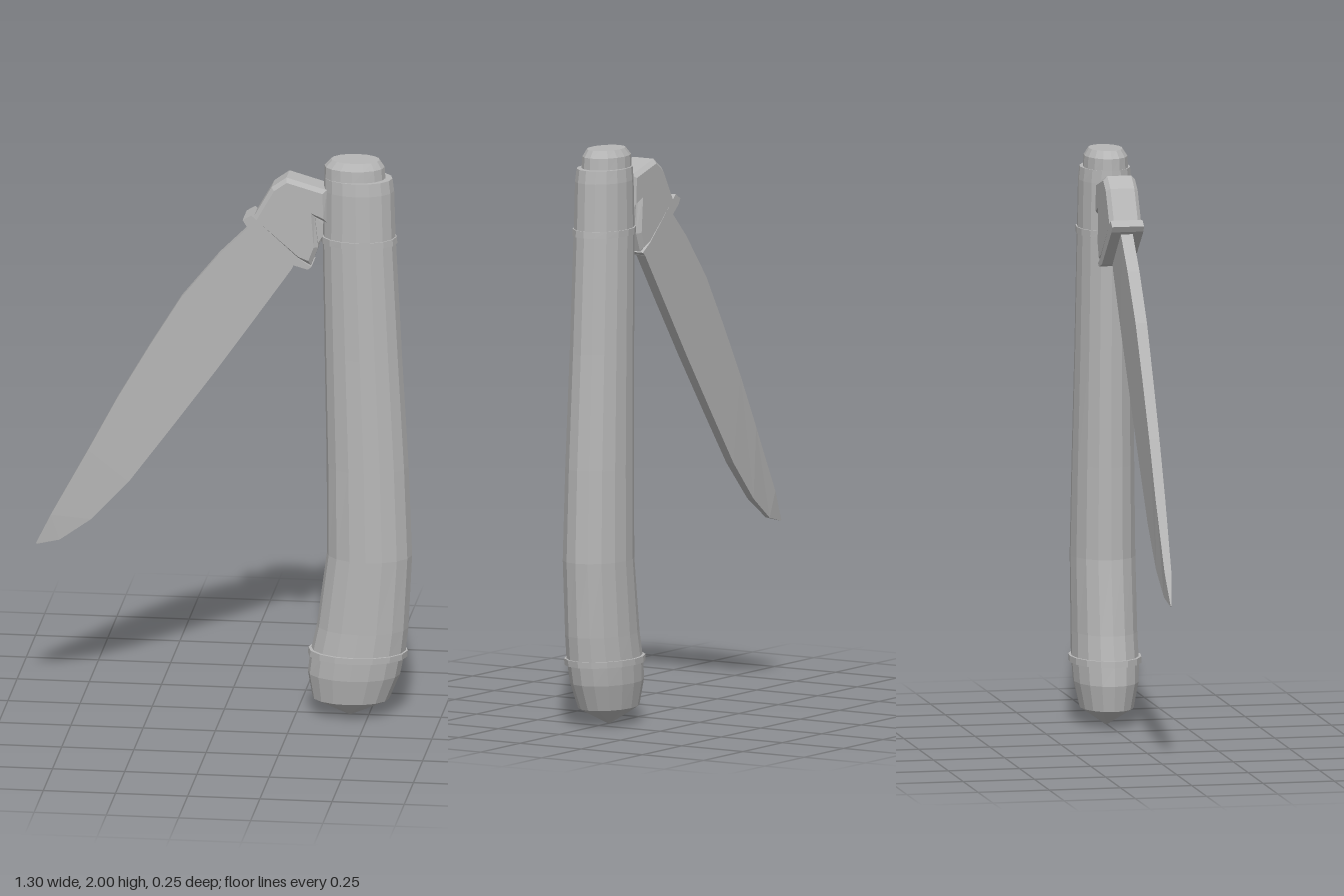
import * as THREE from 'three';

const steel = new THREE.MeshStandardMaterial({ color: 0xb6b6b6, flatShading: true });
steel.name = 'grey steel';

// Skin a list of equal-length point rings, ordered counter-clockwise about the direction of travel
function loft(rings) {
  const pos = [];
  const tri = (...pts) => pts.forEach((p) => pos.push(...p));
  const n = rings[0].length;
  for (let i = 0; i < rings.length - 1; i++) {
    for (let j = 0; j < n; j++) {
      const k = (j + 1) % n;
      const a = rings[i][j], b = rings[i][k], c = rings[i + 1][k], d = rings[i + 1][j];
      tri(a, b, c);
      tri(a, c, d);
    }
  }
  const first = rings[0], last = rings[rings.length - 1];
  for (let j = 1; j < n - 1; j++) {
    tri(first[0], first[j + 1], first[j]);
    tri(last[0], last[j], last[j + 1]);
  }
  const geo = new THREE.BufferGeometry();
  geo.setAttribute('position', new THREE.Float32BufferAttribute(pos, 3));
  geo.computeVertexNormals();
  return geo;
}

// Horizontal oval between two x limits
function oval([y, x0, x1, rz], sides = 16) {
  return Array.from({ length: sides }, (_, i) => {
    const a = (i / sides) * Math.PI * 2;
    return [(x0 + x1) / 2 + Math.cos(a) * (x1 - x0) / 2, y, -Math.sin(a) * rz];
  });
}

// Plate with chamfered rims, centred on z = 0
function plate(points, halfDepth, chamfer) {
  const shape = new THREE.Shape(points.map(([x, y]) => new THREE.Vector2(x, y)));
  const geo = new THREE.ExtrudeGeometry(shape, {
    depth: 2 * (halfDepth - chamfer), bevelEnabled: chamfer > 0, bevelThickness: chamfer,
    bevelSize: chamfer, bevelOffset: -chamfer, bevelSegments: 1,
  });
  return geo.translate(0, 0, chamfer - halfDepth);
}

export function createModel() {
  const group = new THREE.Group();
  const add = (name, geo) => {
    const mesh = new THREE.Mesh(geo, steel);
    mesh.name = name;
    group.add(mesh);
  };

  // Oval handle parts: [y, left limit, right limit, z radius]
  const ovals = {
    handle: [
      [0.23, 0.3, 0.627, 0.115], [0.32, 0.32, 0.637, 0.113], [0.58, 0.355, 0.65, 0.112],
      [0.9, 0.354, 0.638, 0.107], [1.3, 0.347, 0.615, 0.1], [1.71, 0.34, 0.594, 0.095],
    ],
    pommel: [
      [0, 0.43, 0.44, 0.003], [0.06, 0.305, 0.57, 0.092],
      [0.15, 0.289, 0.608, 0.111], [0.22, 0.297, 0.622, 0.115],
    ],
    lowerRing: [[0.215, 0.289, 0.633, 0.124], [0.237, 0.291, 0.635, 0.124]],
    upperRing: [[1.703, 0.334, 0.599, 0.099], [1.726, 0.334, 0.597, 0.099]],
    topSleeve: [[1.72, 0.341, 0.593, 0.094], [1.89, 0.344, 0.588, 0.091], [1.935, 0.346, 0.582, 0.086]],
    topCap: [[1.93, 0.346, 0.558, 0.077], [1.975, 0.347, 0.555, 0.074], [2, 0.37, 0.538, 0.058]],
  };
  for (const [name, rows] of Object.entries(ovals)) add(name, loft(rows.map((r) => oval(r))));

  // Blade: [spine x, spine y, edge x, edge y, spine half thickness, edge half thickness]
  const blade = [
    [-0.653, 0.572, -0.648, 0.57, 0.002, 0.002],
    [-0.6, 0.68, -0.57, 0.59, 0.012, 0.008],
    [-0.47, 0.92, -0.46, 0.67, 0.017, 0.013],
    [-0.37, 1.11, -0.33, 0.81, 0.018, 0.015],
    [-0.26, 1.3, -0.19, 1.0, 0.019, 0.016],
    [-0.15, 1.48, -0.03, 1.22, 0.02, 0.017],
    [-0.02, 1.64, 0.11, 1.42, 0.021, 0.018],
    [0.08, 1.74, 0.235, 1.6, 0.021, 0.018],
    [0.17, 1.82, 0.27, 1.68, 0.021, 0.018],
  ];
  add('blade', loft(blade.map(([sx, sy, ex, ey, s, e]) =>
    [[ex, ey, e], [ex, ey, -e], [sx, sy, -s], [sx, sy, s]])));

  // Bolster joining the blade to the handle
  add('bolster', plate([
    [0.1, 1.78], [0.255, 1.645], [0.305, 1.625], [0.33, 1.69], [0.318, 1.8],
    [0.36, 1.78], [0.36, 1.897], [0.22, 1.937], [0.168, 1.9],
  ], 0.056, 0.014));

  // Collar around the blade root
  add('collar', plate([
    [0.07, 1.782], [0.082, 1.762], [0.245, 1.626], [0.295, 1.612], [0.308, 1.622],
    [0.262, 1.652], [0.1, 1.8],
  ], 0.056, 0));

  // Small catch between bolster and handle
  add('catch', plate([[0.315, 1.8], [0.32, 1.69], [0.345, 1.73], [0.345, 1.77]], 0.035, 0));

  return group;
}
